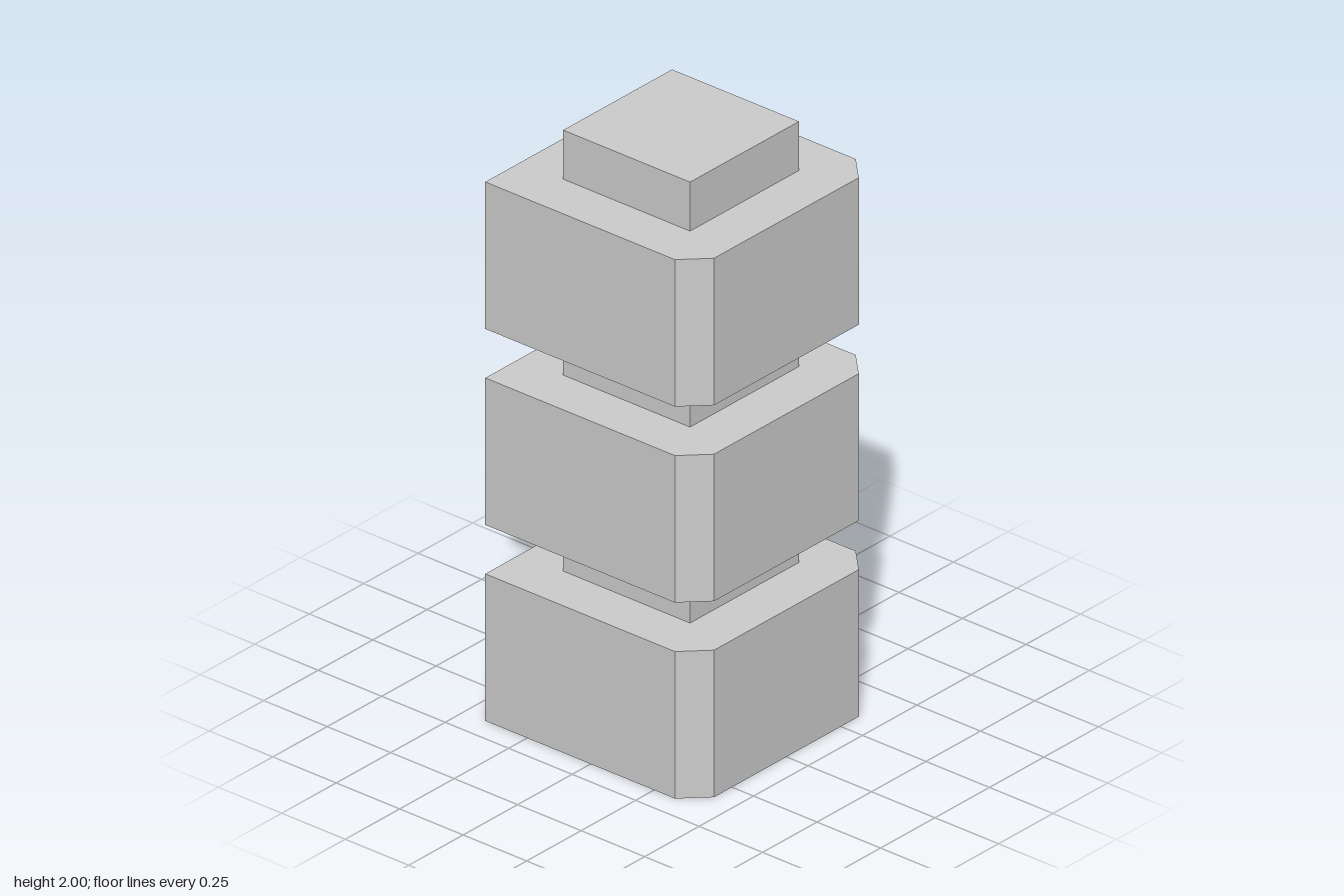
import * as THREE from 'three';

const LEVELS = 3;
const PITCH = 2 / LEVELS;  // block plus neck
const BLOCK_H = 0.5;
const HALF = 0.415;        // half width of a block
const CUT = 0.083;         // chamfer on the two front corners
const NECK_W = 0.5;

// Square plan with the front corners cut; shape -y becomes the front (+z)
function blockGeometry() {
  const plan = new THREE.Shape([
    [-HALF + CUT, -HALF], [HALF - CUT, -HALF], [HALF, -HALF + CUT],
    [HALF, HALF], [-HALF, HALF], [-HALF, -HALF + CUT],
  ].map(([x, y]) => new THREE.Vector2(x, y)));
  return new THREE.ExtrudeGeometry(plan, { depth: BLOCK_H, bevelEnabled: false })
    .rotateX(-Math.PI / 2);
}

export function createModel() {
  const model = new THREE.Group();
  model.name = 'stackedBlockColumn';
  const material = new THREE.MeshStandardMaterial({ color: 0xcccccc, flatShading: true });
  const neckH = PITCH - BLOCK_H;
  const blockGeo = blockGeometry();
  const neckGeo = new THREE.BoxGeometry(NECK_W, neckH, NECK_W);

  // Each level is a chamfered block topped by a narrow square neck
  for (let i = 0; i < LEVELS; i++) {
    const block = new THREE.Mesh(blockGeo, material);
    block.name = `block${i + 1}`;
    block.position.y = i * PITCH;

    const neck = new THREE.Mesh(neckGeo, material);
    neck.name = i < LEVELS - 1 ? `neck${i + 1}` : 'topPeg';
    neck.position.y = i * PITCH + BLOCK_H + neckH / 2;

    model.add(block, neck);
  }
  return model;
}
